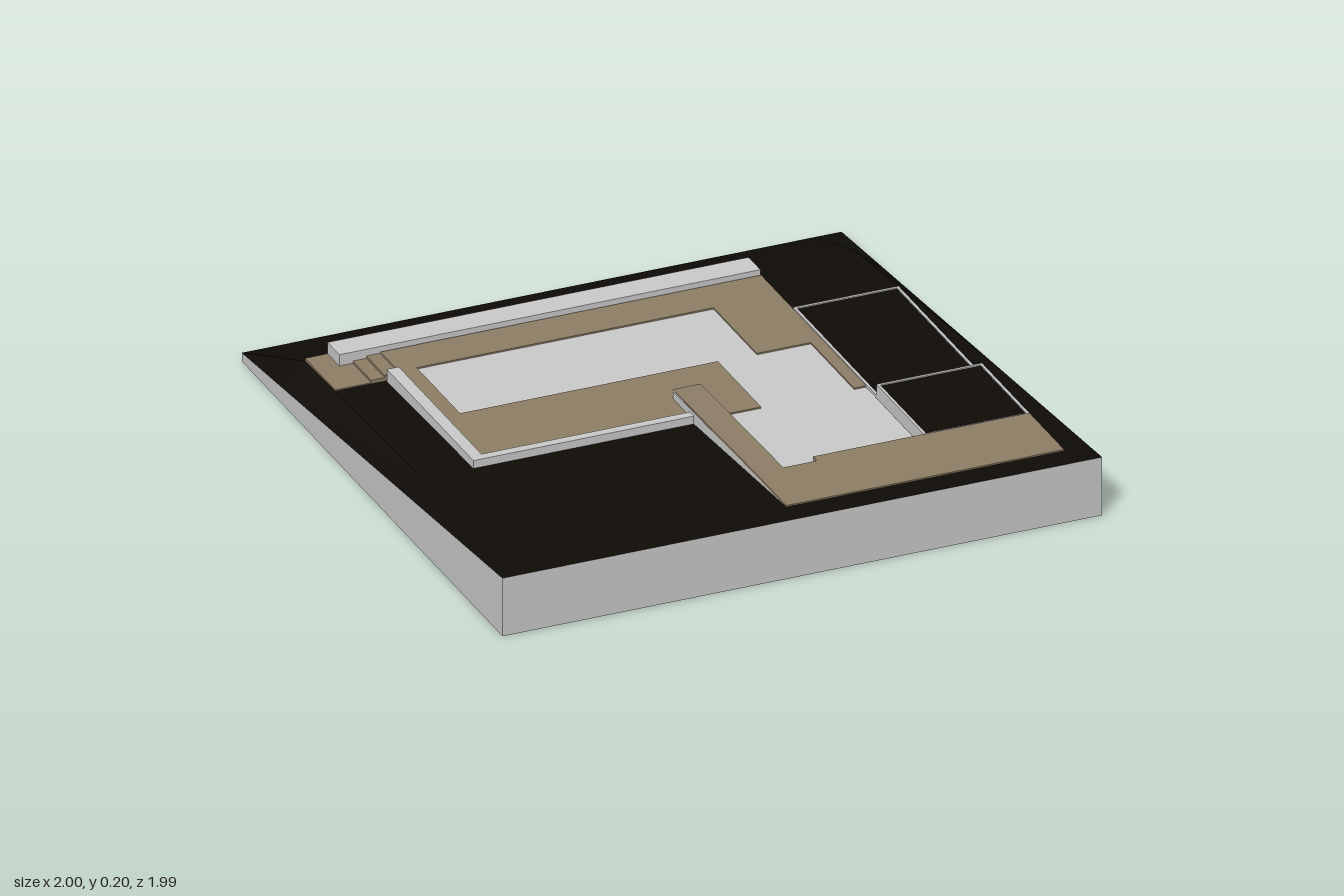
import * as THREE from 'three';

const mat = (color) => new THREE.MeshStandardMaterial({ color, flatShading: true });
const GREY = mat(0xcccccc), PAVING = mat(0x8f7f67), EARTH = mat(0x0f0c08);

export function createModel() {
  const group = new THREE.Group();
  const add = (name, geometry, material) => {
    const mesh = new THREE.Mesh(geometry, material);
    mesh.name = name;
    group.add(mesh);
  };

  // Axis-aligned block given by its limits; its back top edge may be lowered by a drop
  const block = (name, x0, x1, z0, z1, y0, y1, material, drop = 0) => {
    const g = new THREE.BoxGeometry(x1 - x0, y1 - y0, z1 - z0);
    const p = g.attributes.position;
    for (let i = 0; i < p.count; i++) {
      if (p.getY(i) > 0 && p.getZ(i) < 0) p.setY(i, p.getY(i) - drop);
    }
    g.translate((x0 + x1) / 2, (y0 + y1) / 2, (z0 + z1) / 2);
    g.computeVertexNormals();
    add(name, g, material);
  };

  // Slab with an outline in plan, given as [x, z] corners
  const slab = (name, plan, y0, y1, material) => {
    const shape = new THREE.Shape(plan.map(([x, z]) => new THREE.Vector2(x, -z)));
    const g = new THREE.ExtrudeGeometry(shape, { depth: y1 - y0, bevelEnabled: false });
    g.rotateX(-Math.PI / 2);
    g.translate(0, y0, 0);
    add(name, g, material);
  };

  const meshFrom = (positions, index) => {
    const g = new THREE.BufferGeometry();
    g.setAttribute('position', new THREE.Float32BufferAttribute(positions, 3));
    g.setIndex(index);
    const flat = g.toNonIndexed();
    flat.computeVertexNormals();
    return flat;
  };

  // Open-topped wedge: underside and four sides of the site
  const Z = 0.993, FRONT = 0.2, BACK = 0.03;
  const corners = [[-1, Z, FRONT], [1, Z, FRONT], [1, -Z, BACK], [-1, -Z, BACK]];
  const wedge = [], wedgeIndex = [0, 4, 2, 0, 6, 4];
  corners.forEach(([x, z, y], i) => {
    wedge.push(x, 0, z, x, y, z);
    const a = 2 * i, b = 2 * ((i + 1) % 4);
    wedgeIndex.push(a, b, b + 1, a, b + 1, a + 1);
  });
  add('siteBase', meshFrom(wedge, wedgeIndex), GREY);

  // Ground: sloping rim, raised pad, and a cutting for the sunken floor
  const xs = [-1, -0.92, -0.01, 0.01, 0.56, 0.89, 0.91, 1];
  const zs = [-Z, -0.69, 0.2, 0.28, 0.68, 0.74, 0.9, Z];
  const height = (x, z) => {
    if (Math.abs(x) === 1 || Math.abs(z) === Z) {
      return THREE.MathUtils.mapLinear(z, -Z, Z, BACK, FRONT);
    }
    if (x > 0 && x < 0.9 && z > 0.25 && z < 0.7) return 0.145;
    return z <= 0.2
      ? THREE.MathUtils.mapLinear(z, -0.69, 0.2, 0.128, 0.148)
      : THREE.MathUtils.mapLinear(z, 0.2, 0.9, 0.148, 0.198);
  };
  const ground = [], groundIndex = [];
  xs.forEach((x, i) => zs.forEach((z, j) => {
    ground.push(x, height(x, z), z);
    if (i && j) {
      const d = i * zs.length + j, c = d - 1, b = d - zs.length, a = b - 1;
      groundIndex.push(a, b, d, a, d, c);
    }
  }));
  const groundMaterial = EARTH.clone();
  groundMaterial.side = THREE.DoubleSide;
  add('ground', meshFrom(ground, groundIndex), groundMaterial);

  // Sunken floor and the paving laid around it
  slab('sunkenFloor', [
    [-0.71, -0.69], [0.56, -0.69], [0.56, 0.68], [0.0, 0.68], [0.0, 0.2],
    [-0.75, 0.2], [-0.75, -0.46], [-0.71, -0.46],
  ], 0.1, 0.155, GREY);
  slab('lowerTerrace', [
    [-0.71, -0.6], [0.56, -0.6], [0.56, 0.2], [0.52, 0.2], [0.52, -0.13], [0.34, -0.13],
    [0.34, -0.46], [-0.65, -0.46], [-0.65, -0.13], [0.21, -0.13], [0.21, 0.2],
    [0, 0.2], [0, 0.17], [-0.71, 0.17],
  ], 0.15, 0.16, PAVING);

  // Upper plaza with its retaining walls
  const plaza = [
    [-0.015, 0.67], [-0.015, 0.905], [0.912, 0.905], [0.912, 0.64], [0.19, 0.64], [0.19, 0.67],
  ];
  slab('plazaWall', plaza, 0.12, 0.196, GREY);
  slab('plazaPaving', plaza, 0.196, 0.203, PAVING);

  // Walkway falling gently from the plaza to the terrace
  block('walkwayWall', -0.015, 0.078, 0.04, 0.67, 0.13, 0.196, GREY, 0.012);
  block('walkwayPaving', -0.015, 0.078, 0.04, 0.67, 0.19, 0.203, PAVING, 0.012);

  // Parapets
  block('backWall', -0.845, 0.56, -0.695, -0.605, 0.1, 0.176, GREY);
  block('sideParapet', -0.75, -0.71, -0.46, 0.2, 0.12, 0.175, GREY);
  block('frontParapet', -0.71, -0.015, 0.17, 0.2, 0.12, 0.175, GREY);

  // Landing and stairs up to the lower terrace
  slab('landing', [
    [-0.92, -0.695], [-0.845, -0.695], [-0.845, -0.605], [-0.8, -0.605], [-0.8, -0.465], [-0.92, -0.465],
  ], 0.1, 0.137, PAVING);
  for (let i = 0; i < 2; i++) {
    block('stair', -0.8 + i * 0.045, -0.71, -0.605, -0.465, 0.1, 0.145 + i * 0.008, PAVING);
  }

  // Two planted beds with thin rims, sharing the rim between them
  const bed = (z0, z1, top) => {
    const x0 = 0.562, x1 = 0.914, t = 0.009, y0 = 0.12;
    block('bedSoil', x0 + t, x1 - t, z0 + t, z1 - t, y0, top - 0.004, EARTH);
    for (const x of [x0, x1 - t]) block('bedRim', x, x + t, z0, z1, y0, top, GREY);
    for (const z of [z0, z1 - t]) block('bedRim', x0 + t, x1 - t, z, z + t, y0, top, GREY);
  };
  bed(-0.362, 0.283, 0.162);
  bed(0.274, 0.64, 0.2);

  return group;
}
